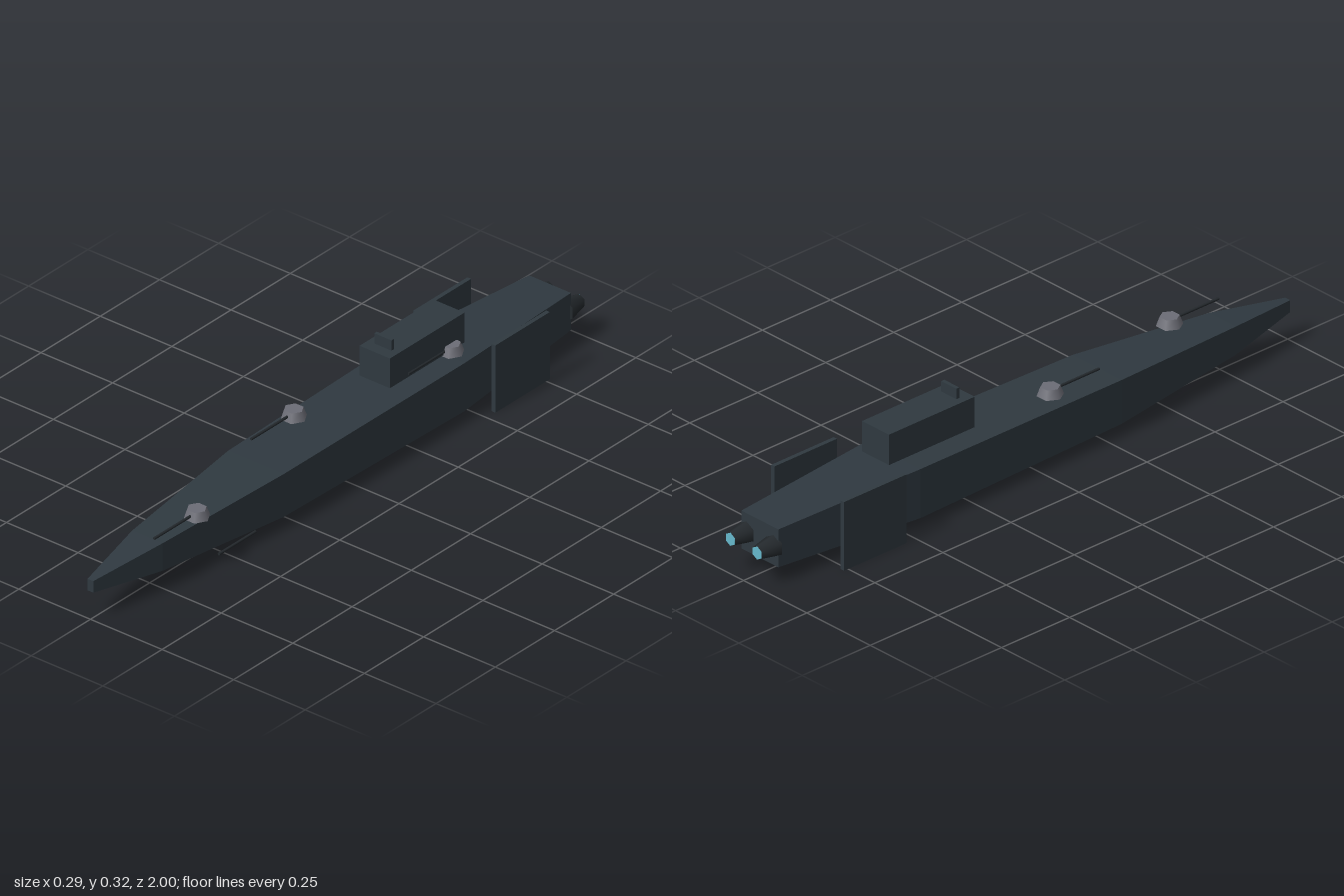
import * as THREE from 'three';

const material = (name, color) => {
  const m = new THREE.MeshStandardMaterial({ color });
  m.name = name;
  return m;
};

// Rectangular sections [z, half width, half height] joined into a faceted hull
function hullGeometry(sections, cy) {
  const rings = sections.map(([z, w, h]) =>
    [[w, h], [-w, h], [-w, -h], [w, -h]].map(([x, y]) => [x, cy + y, z]));
  const pos = [];
  const quad = (a, b, c, d) => pos.push(...a, ...b, ...c, ...a, ...c, ...d);
  for (let i = 0; i < rings.length - 1; i++) {
    const f = rings[i], r = rings[i + 1];
    for (let j = 0; j < 4; j++) {
      const k = (j + 1) % 4;
      quad(f[j], r[j], r[k], f[k]);
    }
  }
  quad(...rings[0]);
  quad(...rings[rings.length - 1].slice().reverse());
  const g = new THREE.BufferGeometry();
  g.setAttribute('position', new THREE.Float32BufferAttribute(pos, 3));
  g.computeVertexNormals();
  return g;
}

export function createModel() {
  const model = new THREE.Group();
  const hullPaint = material('hullSteel', 0x2f3940);
  const darkPaint = material('darkMetal', 0x24292d);
  const turretPaint = material('turretGrey', 0x6c6d76);
  const glowPaint = material('engineGlow', 0x66b8cc);

  const add = (name, geometry, mat, x = 0, y = 0, z = 0, parent = model) => {
    const mesh = new THREE.Mesh(geometry, mat);
    mesh.name = name;
    mesh.position.set(x, y, z);
    parent.add(mesh);
    return mesh;
  };

  // Hull, bow to stern
  add('hull', hullGeometry([
    [1, 0.01, 0.018], [0.76, 0.053, 0.043], [0.3, 0.097, 0.067],
    [-0.45, 0.107, 0.075], [-0.94, 0.073, 0.058],
  ], 0.105), hullPaint);

  // Superstructure and bridge
  add('superstructure', new THREE.BoxGeometry(0.106, 0.093, 0.315), hullPaint, 0, 0.2415, -0.3575);
  add('bridge', new THREE.BoxGeometry(0.06, 0.034, 0.011), hullPaint, 0, 0.303, -0.24);

  // Side fins
  for (const s of [1, -1]) {
    add('sideFin', new THREE.BoxGeometry(0.013, 0.21, 0.23), hullPaint, s * 0.1375, 0.105, -0.65);
  }

  // Gun turrets, staggered along the deck
  const turretBody = new THREE.CylinderGeometry(0.028, 0.038, 0.027, 6).rotateY(Math.PI / 6);
  const barrel = new THREE.CylinderGeometry(0.004, 0.004, 0.18, 8).rotateX(Math.PI / 2);
  for (const [x, y, z] of [[0.053, 0.179, 0.615], [-0.053, 0.205, 0.078], [0.053, 0.205, -0.457]]) {
    const turret = new THREE.Group();
    turret.name = 'turret';
    turret.position.set(x, y, z);
    add('turretBody', turretBody, turretPaint, 0, 0, 0, turret);
    add('barrel', barrel, darkPaint, 0, 0, 0.09, turret);
    model.add(turret);
  }

  // Slim tubes under the keel
  const tube = new THREE.CylinderGeometry(0.004, 0.004, 0.155, 8).rotateX(Math.PI / 2);
  for (const [x, z] of [[0.053, 0.445], [-0.053, -0.09]]) {
    add('keelTube', tube, darkPaint, x, 0.006, z);
  }

  // Engine nozzles with glowing ends
  const nozzle = new THREE.CylinderGeometry(0.034, 0.021, 0.064, 6).rotateX(Math.PI / 2);
  const glow = new THREE.CylinderGeometry(0.02, 0.02, 0.002, 6).rotateX(Math.PI / 2);
  for (const s of [1, -1]) {
    add('engineNozzle', nozzle, darkPaint, s * 0.053, 0.105, -0.967);
    add('engineGlow', glow, glowPaint, s * 0.053, 0.105, -0.999);
  }

  return model;
}
